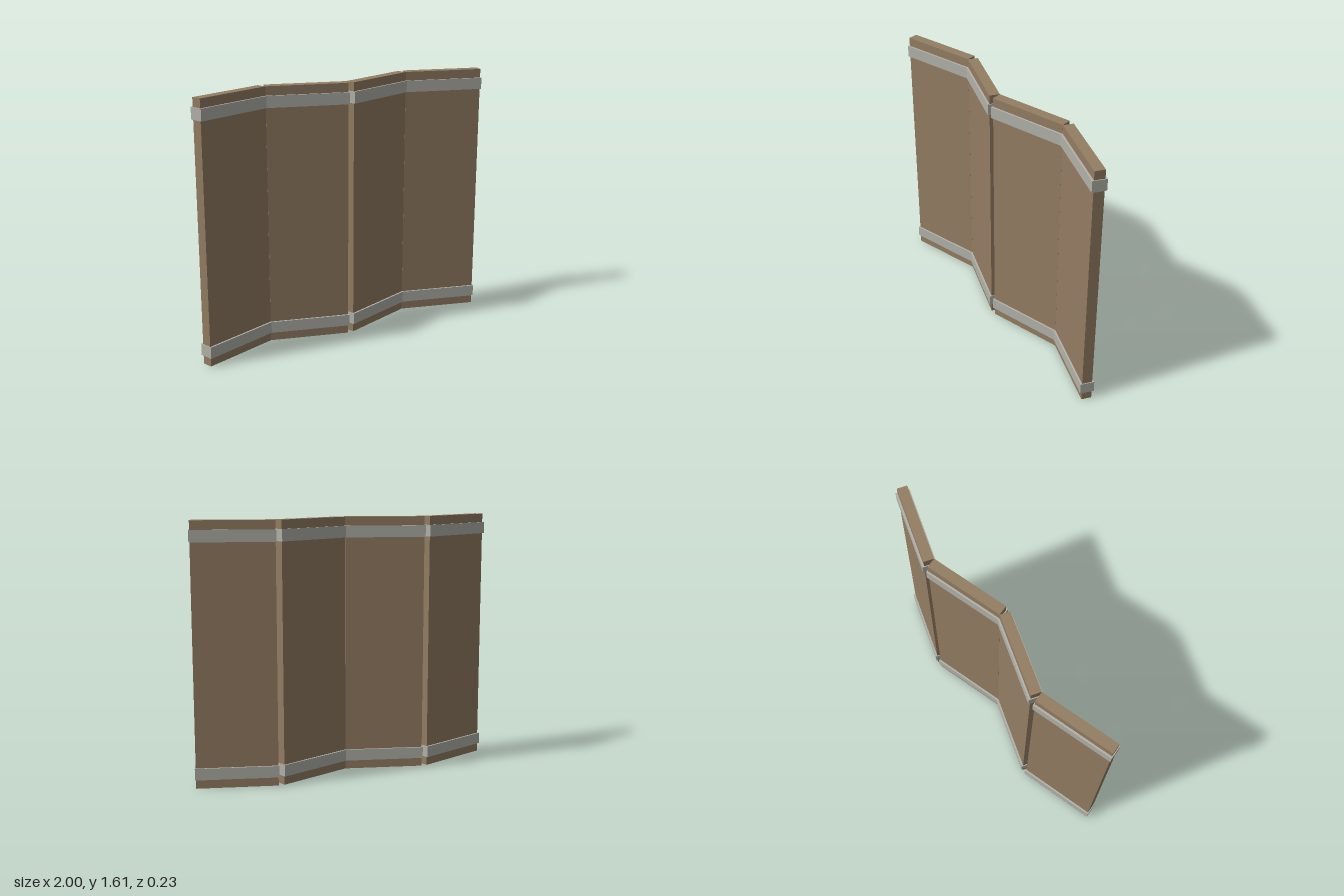
import * as THREE from 'three';

const PANELS = 4;
const PITCH = 0.4955;              // x spacing of the folded panels
const FOLD = THREE.MathUtils.degToRad(17.4);
const HEIGHT = 1.613;
const BAND_HEIGHT = 0.072;
const BAND_LEVELS = [0.091, HEIGHT - 0.091];

export function createModel() {
  const wood = new THREE.MeshStandardMaterial({ color: 0x947d63 });
  wood.name = 'brown wood';
  const metal = new THREE.MeshStandardMaterial({ color: 0xb2b2aa });
  metal.name = 'pale grey metal';

  const boardGeometry = new THREE.BoxGeometry(0.499, HEIGHT, 0.063);
  const bandGeometry = new THREE.BoxGeometry(0.51, BAND_HEIGHT, 0.086);

  const screen = new THREE.Group();
  screen.name = 'foldingScreen';

  // Zigzag row of panels, each turned the opposite way to its neighbour
  for (let i = 0; i < PANELS; i++) {
    const panel = new THREE.Group();
    panel.name = `panel${i + 1}`;
    panel.position.x = (i - (PANELS - 1) / 2) * PITCH;
    panel.rotation.y = i % 2 === 0 ? FOLD : -FOLD;

    // Wooden board
    const board = new THREE.Mesh(boardGeometry, wood);
    board.name = 'board';
    board.position.y = HEIGHT / 2;
    panel.add(board);

    // Metal bands wrapped round the board near its foot and top
    BAND_LEVELS.forEach((y, k) => {
      const band = new THREE.Mesh(bandGeometry, metal);
      band.name = k === 0 ? 'lowerBand' : 'upperBand';
      band.position.y = y;
      panel.add(band);
    });

    screen.add(panel);
  }
  return screen;
}
